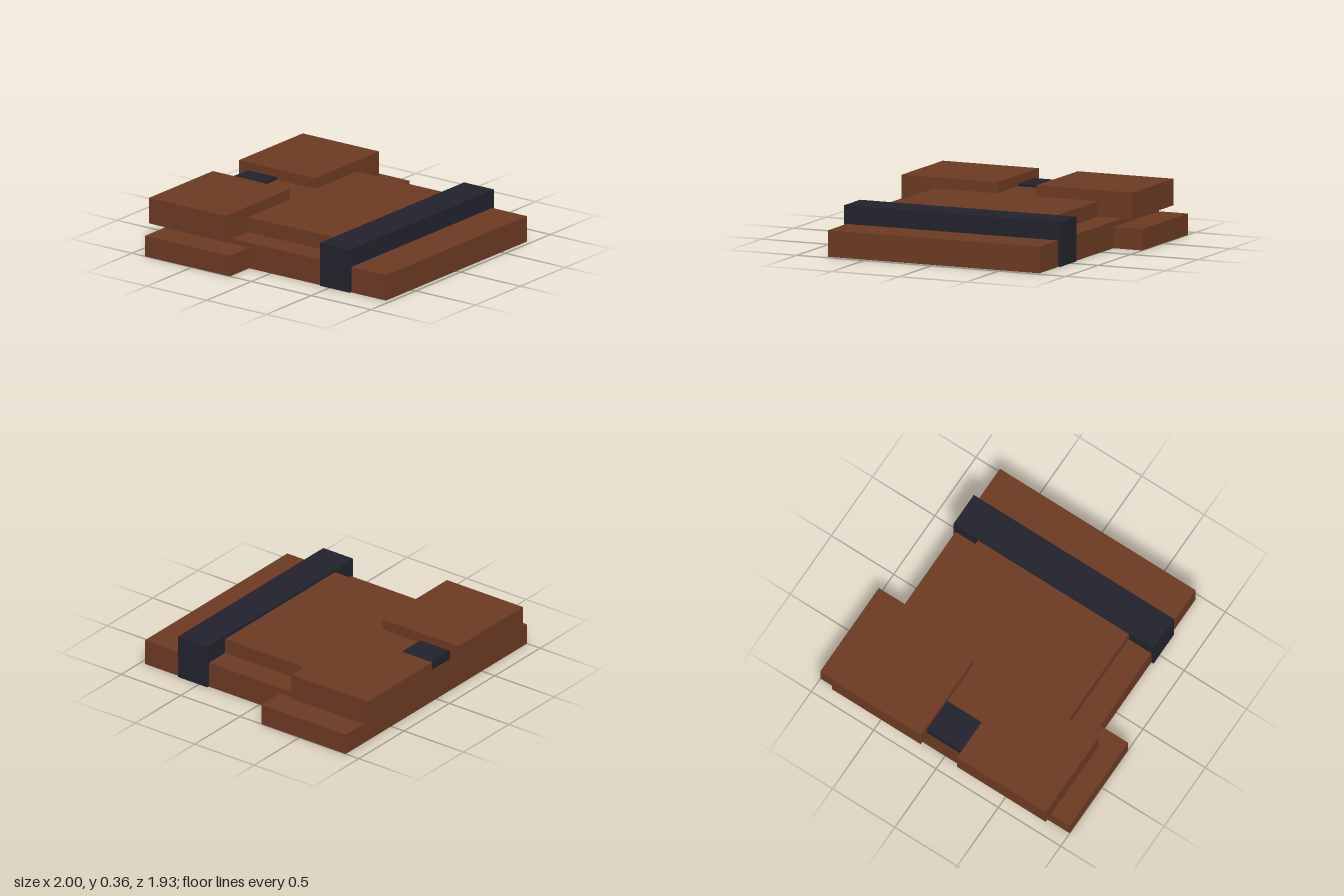
import * as THREE from 'three';

export function createModel() {
  const model = new THREE.Group();
  const brown = new THREE.MeshStandardMaterial({ color: 0x6b3a22 });
  brown.name = 'brown';
  const dark = new THREE.MeshStandardMaterial({ color: 0x22222c });
  dark.name = 'darkNavy';

  // Box given by its extents on each axis
  function block(name, material, [x0, x1], [y0, y1], [z0, z1]) {
    const mesh = new THREE.Mesh(new THREE.BoxGeometry(x1 - x0, y1 - y0, z1 - z0), material);
    mesh.position.set((x0 + x1) / 2, (y0 + y1) / 2, (z0 + z1) / 2);
    mesh.name = name;
    model.add(mesh);
  }

  // Base slab and raised centre panel
  block('body', brown, [-0.785, 0.785], [0, 0.18], [-0.89, 0.965]);
  block('raisedPanel', brown, [-0.605, 0.605], [0.18, 0.285], [-0.89, 0.43]);

  // Side wings and thick raised pads, mirrored
  for (const [side, s] of [['left', 1], ['right', -1]]) {
    const span = (a, b) => (s > 0 ? [a, b] : [-b, -a]);
    block(side + 'Wing', brown, span(0.785, 1), [0, 0.145], [-0.89, -0.18]);
    block(side + 'Pad', brown, span(0.145, 0.857), [0.18, 0.36], [-0.965, -0.325]);
  }

  // Belt wrapping the slab, and collar between the pads
  block('belt', dark, [-0.803, 0.803], [0.002, 0.306], [0.427, 0.675]);
  block('collar', dark, [-0.145, 0.145], [0.24, 0.304], [-0.892, -0.647]);

  return model;
}
